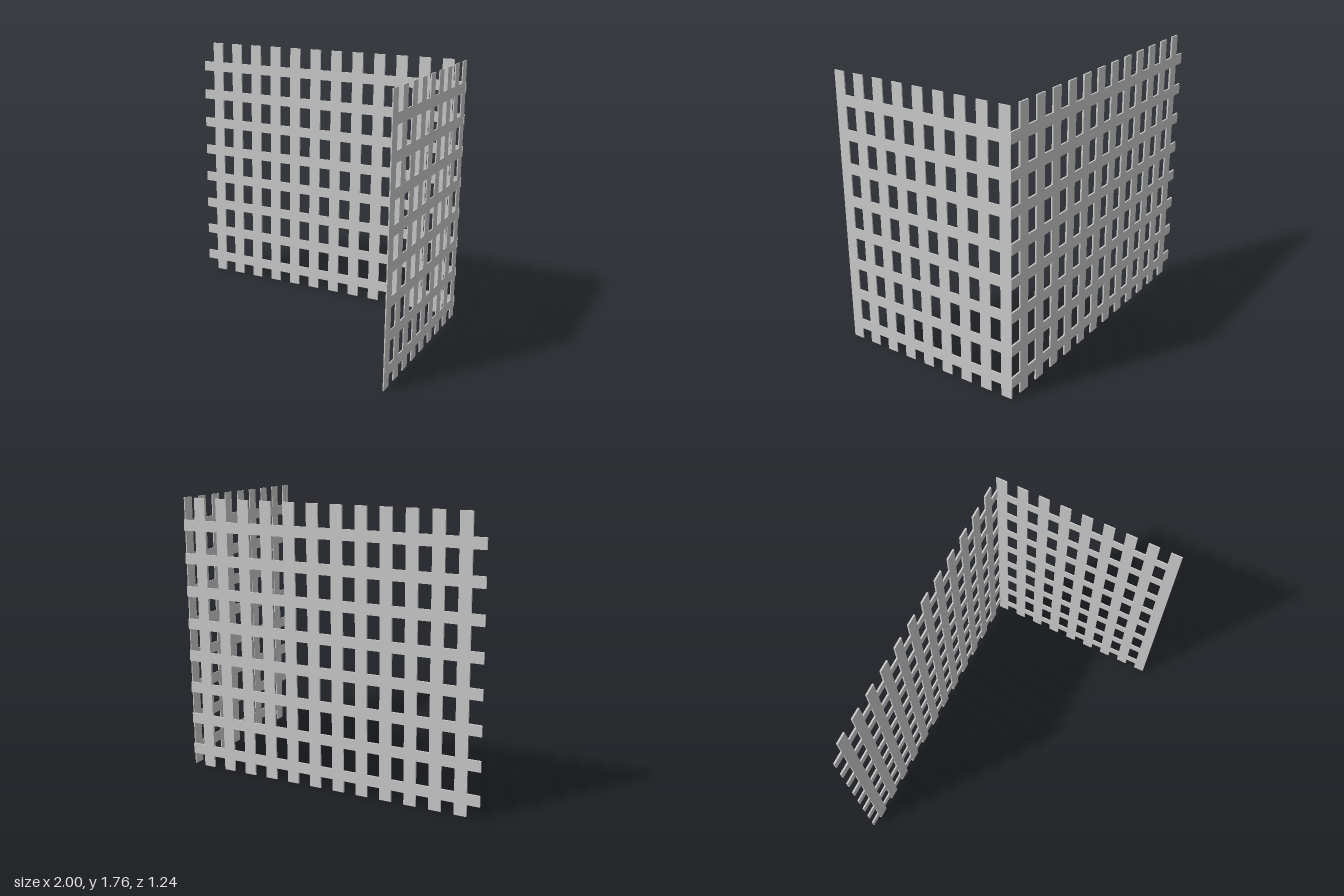
import * as THREE from 'three';

const HEIGHT = 1.76;

// evenly spaced bars as [start, end] pairs
function bars(count, firstCentre, pitch, width) {
  return Array.from({ length: count }, (_, i) => {
    const c = firstCentre + i * pitch;
    return [c - width / 2, c + width / 2];
  });
}

// flat lattice: notched outline plus one hole between each pair of slats and rails
function latticeGeometry(slats, rails, left, right, depth) {
  const first = slats[0][0];
  const last = slats[slats.length - 1][1];
  const low = rails[0][0];
  const high = rails[rails.length - 1][1];
  const points = [];
  const add = (x, y) => points.push(new THREE.Vector2(x, y));

  // slat ends along the bottom
  slats.forEach(([a, b], i) => {
    if (i > 0) add(a, low);
    add(a, 0);
    add(b, 0);
    if (i < slats.length - 1) add(b, low);
  });
  // rail ends up the right side
  if (right > last) {
    for (const [a, b] of rails) { add(last, a); add(right, a); add(right, b); add(last, b); }
  }
  // slat ends along the top
  [...slats].reverse().forEach(([a, b], i) => {
    if (i > 0) add(b, high);
    add(b, HEIGHT);
    add(a, HEIGHT);
    if (i < slats.length - 1) add(a, high);
  });
  // rail ends down the left side
  if (left < first) {
    for (const [a, b] of [...rails].reverse()) { add(first, b); add(left, b); add(left, a); add(first, a); }
  }

  const shape = new THREE.Shape(points);
  for (let i = 0; i < slats.length - 1; i++) {
    for (let j = 0; j < rails.length - 1; j++) {
      const x0 = slats[i][1], x1 = slats[i + 1][0];
      const y0 = rails[j][1], y1 = rails[j + 1][0];
      shape.holes.push(new THREE.Path([
        new THREE.Vector2(x0, y0), new THREE.Vector2(x0, y1),
        new THREE.Vector2(x1, y1), new THREE.Vector2(x1, y0),
      ]));
    }
  }
  return new THREE.ExtrudeGeometry(shape, { depth, bevelEnabled: false });
}

export function createModel() {
  const group = new THREE.Group();
  group.name = 'latticeScreen';
  const material = new THREE.MeshStandardMaterial({ color: 0xcccccc });
  const rails = bars(8, 0.108, 0.2112, 0.068);

  // wide panel along the back, rails running past the slats at both ends
  const backSlats = bars(12, -0.88, 0.1597, 0.0775);
  const back = new THREE.Mesh(latticeGeometry(backSlats, rails, -1, 1, 0.011), material);
  back.name = 'backLattice';
  back.position.z = -0.621;
  group.add(back);

  // narrower panel at a right angle, with slats closing both ends
  const sideSlats = bars(9, -0.579, 0.1452, 0.073);
  const side = new THREE.Mesh(
    latticeGeometry(sideSlats, rails, sideSlats[0][0], sideSlats[8][1], 0.007), material);
  side.name = 'sideLattice';
  side.rotation.y = -Math.PI / 2;
  side.position.x = 0.997;
  group.add(side);

  return group;
}
